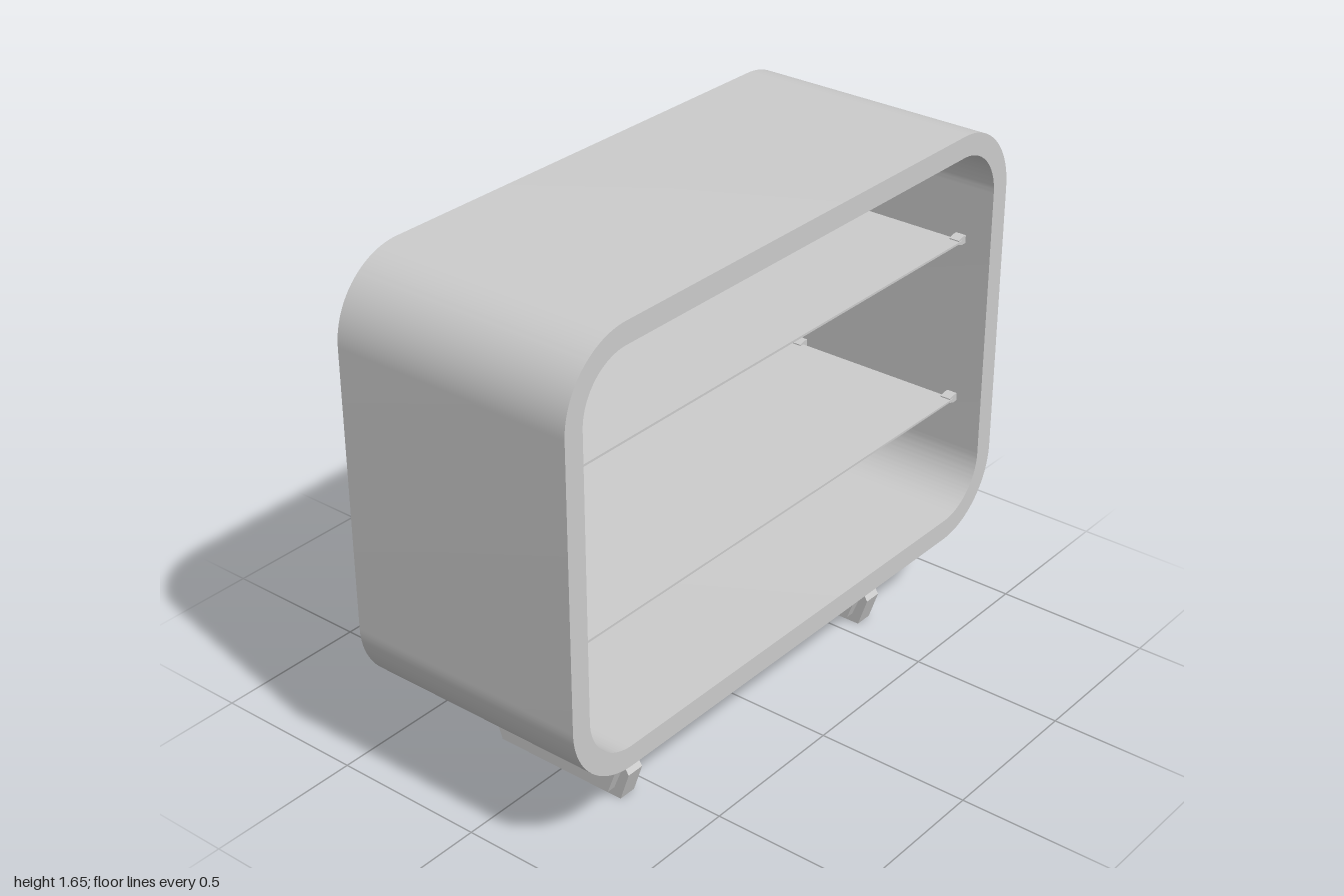
import * as THREE from 'three';
import { toCreasedNormals } from 'three/addons/utils/BufferGeometryUtils.js';

const material = new THREE.MeshStandardMaterial({ color: 0xcccccc });

function addMesh(parent, name, geometry) {
  const mesh = new THREE.Mesh(geometry, material);
  mesh.name = name;
  parent.add(mesh);
  return mesh;
}

// Rounded rectangle outline, centred on the origin
function roundedRect(path, w, h, r) {
  const x = w / 2, y = h / 2;
  path.moveTo(x, r - y);
  path.lineTo(x, y - r);
  path.absarc(x - r, y - r, r, 0, Math.PI / 2);
  path.absarc(r - x, y - r, r, Math.PI / 2, Math.PI);
  path.absarc(r - x, r - y, r, Math.PI, Math.PI * 1.5);
  path.absarc(x - r, r - y, r, Math.PI * 1.5, Math.PI * 2);
  return path;
}

// Extrudes a shape by depth, centred along its own z
function extrude(shape, depth) {
  const geometry = new THREE.ExtrudeGeometry(shape, { depth, bevelEnabled: false, curveSegments: 20 });
  geometry.translate(0, 0, -depth / 2);
  return toCreasedNormals(geometry, 0.4);
}

function polygon(points) {
  return new THREE.Shape(points.map(([a, b]) => new THREE.Vector2(a, b)));
}

// Extrudes a (z, y) side profile along x
function sideProfile(points, width) {
  return extrude(polygon(points), width).rotateY(-Math.PI / 2);
}

export function createModel() {
  const model = new THREE.Group();
  model.name = 'shelfUnit';

  // Open rounded casing
  const casing = roundedRect(new THREE.Shape(), 2, 1.37, 0.24);
  casing.holes.push(roundedRect(new THREE.Path(), 1.864, 1.234, 0.172));
  addMesh(model, 'casing', extrude(casing, 0.8)).position.y = 0.97;

  // Thin shelves resting on four tapered pegs each
  const pegGeometry = extrude(polygon([
    [0.935, -0.013], [0.935, 0.013], [0.915, 0.013], [0.895, 0.007], [0.895, -0.007], [0.915, -0.013],
  ]), 0.035);
  for (const y of [0.695, 1.24]) {
    const shelf = new THREE.Group();
    shelf.name = 'shelf';
    shelf.position.y = y;
    model.add(shelf);
    addMesh(shelf, 'shelfBoard', new THREE.BoxGeometry(1.82, 0.007, 0.626));
    for (const side of [0, Math.PI]) {
      for (const z of [-0.293, 0.293]) {
        const peg = addMesh(shelf, 'shelfPeg', pegGeometry);
        peg.rotation.y = side;
        peg.position.z = z;
      }
    }
  }

  // U-shaped leg frames with clipped-on feet
  const half = [[0.205, 0.03], [0.3, 0.287], [0.195, 0.287], [0.195, 0.16], [0.168, 0.093]];
  const mirrored = half.map(([z, y]) => [-z, y]).reverse();
  const legGeometry = sideProfile([...half, ...mirrored], 0.12);
  const footGeometry = sideProfile([
    [0.12, 0.031], [0.142, 0], [0.228, 0], [0.26, 0.097], [0.242, 0.125], [0.205, 0.031],
  ], 0.06);
  for (const x of [-0.585, 0.585]) {
    const leg = new THREE.Group();
    leg.name = 'leg';
    leg.position.x = x;
    model.add(leg);
    addMesh(leg, 'legFrame', legGeometry);
    for (const turn of [0, Math.PI]) addMesh(leg, 'foot', footGeometry).rotation.y = turn;
  }

  return model;
}
